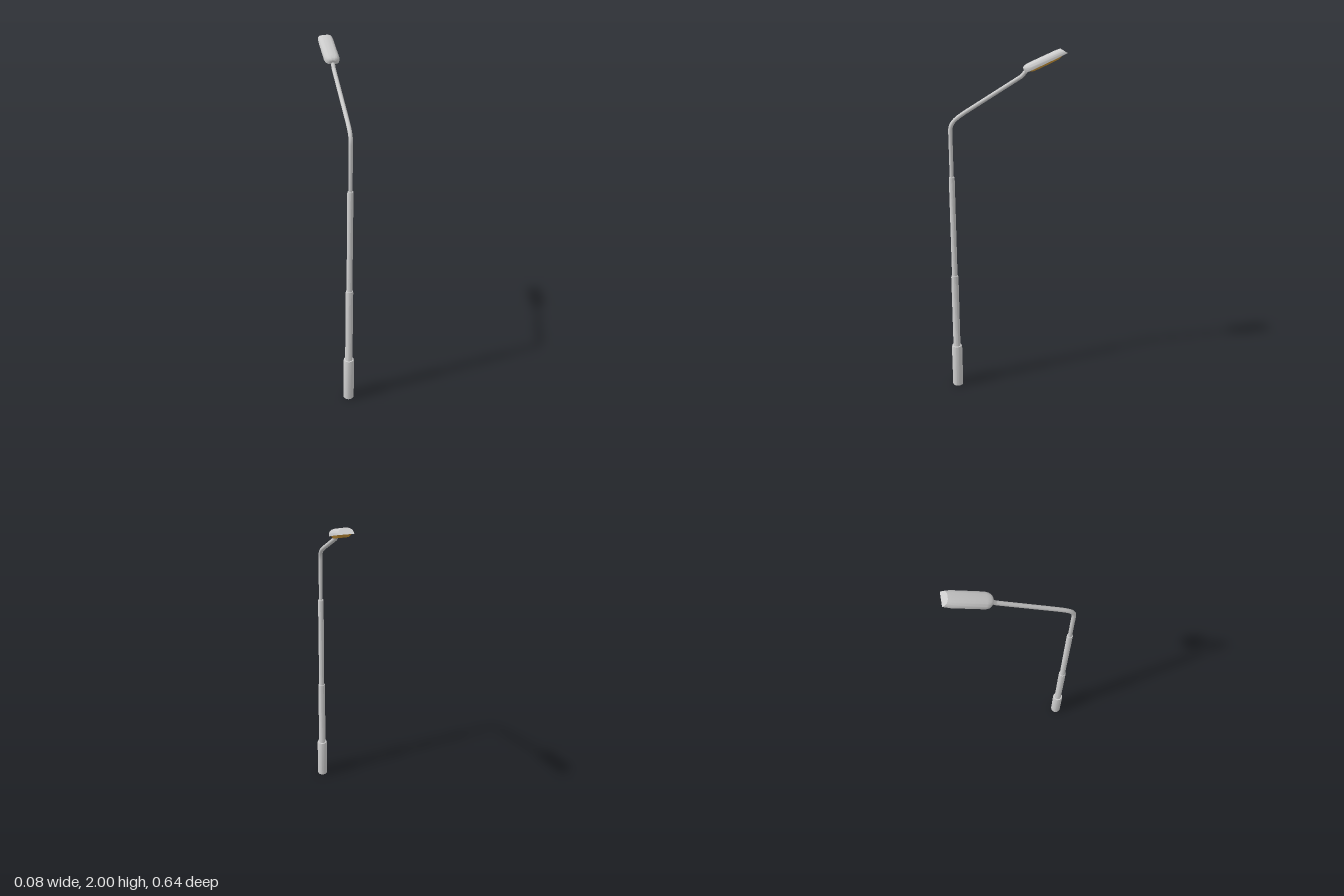
import * as THREE from 'three';
import { toCreasedNormals } from 'three/addons/utils/BufferGeometryUtils.js';

const POLE_Z = 0.29;

// Closed surface through rings of points, capped at both ends.
// Each ring runs counter-clockwise seen from the side of the first ring.
function loft(rings, crease = 0.6) {
  const n = rings[0].length;
  const pos = [];
  const tri = (...pts) => pts.forEach((p) => pos.push(p.x, p.y, p.z));
  const centre = (ring) =>
    ring.reduce((sum, p) => sum.add(p), new THREE.Vector3()).divideScalar(n);
  for (let j = 0; j < n; j++) {
    const k = (j + 1) % n;
    for (let i = 0; i < rings.length - 1; i++) {
      const a = rings[i], b = rings[i + 1];
      tri(a[j], b[j], a[k]);
      tri(a[k], b[j], b[k]);
    }
    const first = rings[0], last = rings[rings.length - 1];
    tri(centre(first), first[j], first[k]);
    tri(centre(last), last[k], last[j]);
  }
  const geo = new THREE.BufferGeometry();
  geo.setAttribute('position', new THREE.Float32BufferAttribute(pos, 3));
  return toCreasedNormals(geo, crease);
}

const softPow = (v, e) => Math.sign(v) * Math.pow(Math.abs(v), e);

// Arched section with a flat underside; slant leans the ring back with height
function archRing(s, w, h, slant = 0) {
  return Array.from({ length: 21 }, (_, i) => {
    const t = (i / 20) * Math.PI;
    const y = h * softPow(Math.sin(t), 0.75);
    return new THREE.Vector3(w * softPow(Math.cos(t), 0.75), 0.012 + y, -(s - slant * y));
  });
}

// Rounded rectangle lying flat at height y
function plateRing(y, s0, s1, w) {
  return Array.from({ length: 32 }, (_, i) => {
    const t = (i / 32) * Math.PI * 2;
    return new THREE.Vector3(
      w * softPow(Math.sin(t), 0.45), y,
      -(s0 + s1) / 2 + ((s1 - s0) / 2) * softPow(Math.cos(t), 0.45));
  });
}

export function createModel() {
  const grey = new THREE.MeshStandardMaterial({ color: 0xcccccc });
  const amber = new THREE.MeshStandardMaterial({ color: 0xd09a3a });
  const model = new THREE.Group();
  model.name = 'streetLamp';
  const add = (parent, name, geo, mat) => {
    const mesh = new THREE.Mesh(geo, mat);
    mesh.name = name;
    parent.add(mesh);
    return mesh;
  };

  // Stepped pole with small chamfers at each step
  const profile = [
    [0, 0], [0.031, 0], [0.031, 0.262], [0.028, 0.272], [0.021, 0.273],
    [0.021, 0.728], [0.019, 0.737], [0.016, 0.738],
    [0.016, 1.325], [0.0145, 1.332], [0, 1.332],
  ].map(([r, y]) => new THREE.Vector2(r, y));
  const pole = add(model, 'pole',
    toCreasedNormals(new THREE.LatheGeometry(profile, 24), 0.5), grey);
  pole.position.z = POLE_Z;

  // Bent arm, with a short kink where it enters the head
  const v = (y, z) => new THREE.Vector3(0, y, z);
  const path = new THREE.CurvePath();
  path.add(new THREE.LineCurve3(v(1.32, POLE_Z), v(1.585, POLE_Z)));
  path.add(new THREE.CubicBezierCurve3(
    v(1.585, POLE_Z), v(1.635, POLE_Z), v(1.655, 0.255), v(1.69, 0.2)));
  path.add(new THREE.LineCurve3(v(1.69, 0.2), v(1.862, -0.085)));
  path.add(new THREE.QuadraticBezierCurve3(
    v(1.862, -0.085), v(1.875, -0.1), v(1.91, -0.125)));
  add(model, 'arm', new THREE.TubeGeometry(path, 90, 0.011, 16, false), grey);

  // Lamp head, tilted upward to the rear
  const head = new THREE.Group();
  head.name = 'lampHead';
  head.position.set(0, 1.89, -0.143);
  head.rotation.x = THREE.MathUtils.degToRad(24);
  model.add(head);

  // Domed housing with a rounded near end and a slanted far end
  add(head, 'housing', loft([
    archRing(-0.036, 0.018, 0.023),
    archRing(-0.031, 0.027, 0.028),
    archRing(-0.02, 0.036, 0.031),
    archRing(0, 0.041, 0.033),
    archRing(0.16, 0.041, 0.031),
    archRing(0.2, 0.036, 0.029, 0.7),
  ]), grey);

  // Tapered lens below the housing
  add(head, 'lens', loft([
    plateRing(0.013, -0.027, 0.188, 0.036),
    plateRing(0, -0.002, 0.157, 0.026),
  ], 0.5), amber);

  return model;
}
